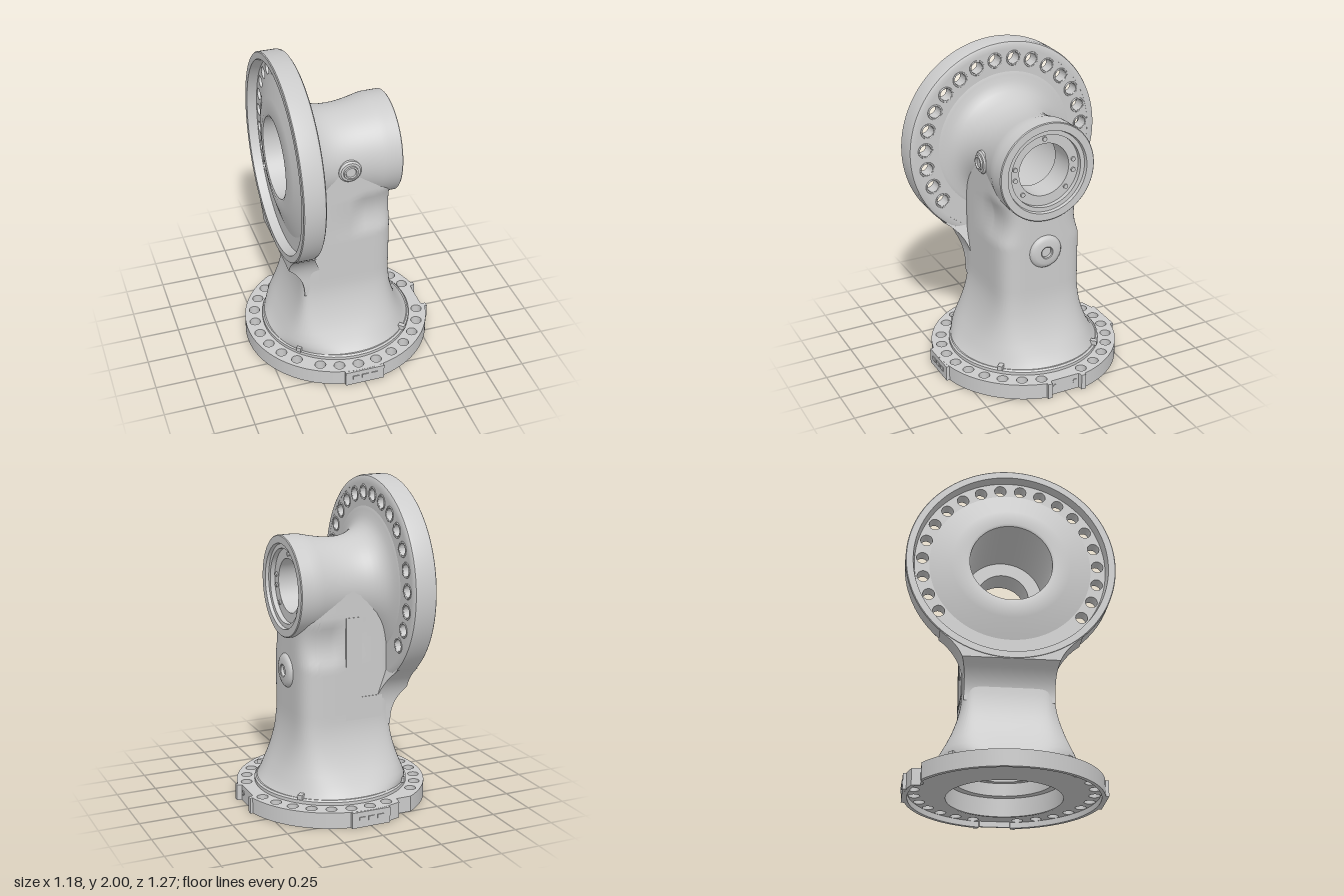
import * as THREE from 'three';
import { toCreasedNormals } from 'three/addons/utils/BufferGeometryUtils.js';

const AXIS_Y = 1.365;               // height of the horizontal barrel axis
const rad = THREE.MathUtils.degToRad;
const clamp01 = (v) => THREE.MathUtils.clamp(v, 0, 1);

const mat = new THREE.MeshStandardMaterial({ color: 0xcccccc, side: THREE.DoubleSide });

function add(parent, name, geo, crease = 0.6) {
  const mesh = new THREE.Mesh(toCreasedNormals(geo, crease), mat);
  mesh.name = name;
  parent.add(mesh);
  return mesh;
}

// Profile of [radius, height] pairs turned about y
const lathe = (pts, seg = 72) =>
  new THREE.LatheGeometry(pts.map(([r, h]) => new THREE.Vector2(r, h)), seg);
// The same turned about x, on the barrel axis
const latheX = (pts, seg = 72) => lathe(pts, seg).rotateZ(-Math.PI / 2).translate(0, AXIS_Y, 0);

function circleHole(shape, x, y, r) {
  const hole = new THREE.Path();
  hole.absarc(x, y, r, 0, Math.PI * 2, true);
  shape.holes.push(hole);
}

const extrude = (shape, depth, curveSegments = 14) =>
  new THREE.ExtrudeGeometry(shape, { depth, curveSegments, bevelEnabled: false });

// Skin over rows of closed cross-sections; point(row, i) gives [x, y, z]
function loft(rows, seg, point) {
  const pos = [], index = [];
  for (let r = 0; r < rows; r++)
    for (let i = 0; i <= seg; i++) {
      pos.push(...point(r, i % seg));
      if (r && i) {
        const b = r * (seg + 1) + i, d = b - seg - 1;
        index.push(d - 1, b - 1, d, b - 1, b, d);
      }
    }
  const geo = new THREE.BufferGeometry();
  geo.setAttribute('position', new THREE.Float32BufferAttribute(pos, 3));
  geo.setIndex(index);
  return geo;
}

// Column: flared round foot becoming a rounded square, cut to saddle under the barrel
function columnGeometry() {
  const foot = [[0.12, 0.468], [0.14, 0.448], [0.17, 0.423], [0.2, 0.403], [0.25, 0.373], [0.3, 0.349],
    [0.35, 0.33], [0.4, 0.315], [0.45, 0.304], [0.5, 0.297], [0.55, 0.293]];
  const SEG = 160, UPPER = 24;
  const pow = (v, n) => Math.sign(v) * Math.pow(Math.abs(v), 2 / n);
  return loft(foot.length + UPPER + 1, SEG, (r, i) => {
    const t = Math.max(0, (r - foot.length) / UPPER);
    const [y0, half] = foot[r] || [0.6, 0.293];
    const k = Math.min(1, (y0 - 0.12) / 0.38);
    const a = (i / SEG) * Math.PI * 2;
    const n = 2 + (Math.cos(a) < 0 ? 8 : 3) * k;   // squarer towards the flange
    const x = pow(Math.cos(a), n) * half;
    const z = pow(Math.sin(a), n) * (half - 0.018 * k);
    const y = y0 + (AXIS_Y - Math.sqrt(Math.max(0, 0.27 ** 2 - z * z)) - 0.6) * t;
    // shallow scoop in each flank
    const scoop = x > 0.02 ? 0.12 * Math.sin(Math.PI * clamp01((y - 0.9) / 0.28)) : 0;
    return [x, y, z * (1 - scoop)];
  });
}

// Neck: fillet joining the column to the underside of the big flange
function neckGeometry() {
  const ROWS = 36, N = 60;
  return loft(ROWS, 2 * N + 2, (r, i) => {
    const y = 0.5 + 0.385 * r / (ROWS - 1);
    const onBack = i <= N;
    const z = (onBack ? 2 * i / N - 1 : 1 - 2 * (i - N - 1) / N) * (0.268 + 0.175 * clamp01((y - 0.6) / 0.3) ** 2.6);
    if (!onBack) return [-0.12 - 0.135 * clamp01((y - 0.5) / 0.36), y, z];
    // stay behind the drilled plate inside the rim
    if (Math.hypot(z, y - AXIS_Y) < 0.605) return [-0.3, y, z];
    return [-0.285 - 0.103 * clamp01((y - 0.52) / 0.21) ** 2.2, y, z];
  });
}

// Base outline: keyed flat on +x and a small notch at the back
function baseOutline() {
  const pts = [];
  for (let i = 0; i < 540; i++) {
    const a = (i / 540) * Math.PI * 2;
    let x = 0.59 * Math.cos(a), y = 0.59 * Math.sin(a);
    if (x > 0 && Math.abs(y) < 0.1) x = 0.56;
    if (x > -0.31 && x < -0.212) y = Math.min(y, 0.5);
    pts.push(new THREE.Vector2(x, y));
  }
  return pts;
}

function buildBase(root) {
  const base = new THREE.Group();
  base.name = 'base';
  root.add(base);

  // Drilled ring; one hole gives way to the notch
  const outline = baseOutline();
  const ring = new THREE.Shape(outline);
  circleHole(ring, 0, 0, 0.465);
  const angles = [];
  for (let k = 0; k < 9; k++) angles.push(15 + 12.9 * k);
  for (let k = 0; k < 4; k++) angles.push(173.5 - 12.86 * k);
  for (const deg of angles)
    for (const s of [-1, 1])
      if (s < 0 || Math.abs(deg - 118) > 2)
        circleHole(ring, 0.531 * Math.cos(rad(deg)), s * 0.531 * Math.sin(rad(deg)), 0.034);
  add(base, 'baseFlange', extrude(ring, 0.065, 20).rotateX(-Math.PI / 2).translate(0, 0.035, 0));

  // Thin rim closing the groove underneath
  const rim = new THREE.Shape(outline);
  rim.holes.push(new THREE.Path(outline.map((p) => p.clone().setLength(Math.min(0.567, p.length() - 0.012)))));
  add(base, 'baseRim', extrude(rim, 0.035).rotateX(-Math.PI / 2));

  // Plinth on top, sloped underside and stepped bore
  add(base, 'plinthAndBore', lathe([[0.44, 0.13], [0.468, 0.13], [0.478, 0.12], [0.478, 0.098], [0.49, 0.09],
    [0.49, 0.035], [0.36, 0.004], [0.345, 0.004], [0.345, 0.12], [0.3, 0.12], [0.3, 0.2],
    [0.27, 0.2], [0.27, 0.26], [0.25, 0.28], [0.25, 0.9], [0, 0.9]]));

  for (const s of [-1, 1]) {
    // Flat pads on the rim with plain raised tiles
    add(base, 'rimPad', new THREE.BoxGeometry(0.25, 0.098, 0.025).translate(0, 0.05, s * 0.585));
    for (const x of [-0.06, 0, 0.06])
      add(base, 'padTile', new THREE.BoxGeometry(0.04, 0.025, 0.008).translate(x, 0.055, s * 0.599));
    // Key stops and pins beside the flat
    add(base, 'keyStop', new THREE.BoxGeometry(0.026, 0.1, 0.03).translate(0.578, 0.05, s * 0.116));
    const pin = new THREE.CylinderGeometry(0.015, 0.015, 0.02, 16).rotateZ(Math.PI / 2);
    add(base, 'keyPin', pin.translate(0.555, 0.055, s * 0.07));
    // Locating blocks on the plinth corners
    for (const t of [-1, 1]) {
      const block = new THREE.BoxGeometry(0.03, 0.03, 0.07).rotateY(s * t * Math.PI / 4);
      add(base, 'locatingBlock', block.translate(s * 0.33, 0.143, t * 0.318));
    }
  }
}

function buildFlange(root) {
  const flange = new THREE.Group();
  flange.name = 'largeFlange';
  root.add(flange);

  add(flange, 'rim', latheX([[0.59, -0.39], [0.63, -0.39], [0.635, -0.385], [0.635, -0.275], [0.629, -0.258],
    [0.615, -0.25], [0.585, -0.25], [0.58, -0.33], [0.59, -0.39]], 108));

  // Drilled plate; the lower arc over the neck has no holes
  const plate = new THREE.Shape();
  plate.absarc(0, 0, 0.6, 0, Math.PI * 2, false);
  circleHole(plate, 0, 0, 0.445);
  for (let k = 0; k < 20; k++) {
    const a = Math.PI / 2 + (k - 9.5) * Math.PI * 2 / 27;
    const u = 0.533 * Math.cos(a), v = 0.533 * Math.sin(a) - 0.004;
    circleHole(plate, u, v, 0.036);
    const lip = new THREE.TorusGeometry(0.043, 0.006, 6, 24).rotateY(Math.PI / 2);
    add(flange, 'holeLip', lip.translate(-0.252, AXIS_Y + v, -u), 1.2);
  }
  add(flange, 'drilledPlate', extrude(plate, 0.08, 36).rotateY(Math.PI / 2).translate(-0.331, AXIS_Y, 0));
}

function buildBarrel(root) {
  const barrel = new THREE.Group();
  barrel.name = 'barrel';
  root.add(barrel);

  // Waisted outside, stepped mouth, through bore and raised cone at the back
  add(barrel, 'barrelShell', latheX([[0.47, -0.262], [0.45, -0.252], [0.425, -0.247], [0.39, -0.238],
    [0.36, -0.226], [0.336, -0.208], [0.314, -0.183], [0.297, -0.15], [0.285, -0.115], [0.277, -0.075],
    [0.275, -0.03], [0.276, 0.02], [0.282, 0.07], [0.291, 0.12], [0.301, 0.165], [0.309, 0.2], [0.31, 0.24],
    [0.31, 0.315], [0.305, 0.32], [0.26, 0.32], [0.255, 0.3], [0.228, 0.3], [0.228, 0.27], [0.165, 0.27],
    [0.165, 0.1], [0.25, 0.1], [0.25, -0.38], [0.265, -0.386], [0.36, -0.368], [0.49, -0.331]], 96));

  // Screws around the mouth
  for (const deg of [90, 10, -10, -43, 170, 190, 223]) {
    const a = rad(deg);
    const screw = new THREE.CylinderGeometry(0.014, 0.014, 0.012, 14).rotateZ(Math.PI / 2);
    add(barrel, 'mouthScrew', screw.translate(0.274, AXIS_Y + 0.195 * Math.sin(a), 0.195 * Math.cos(a)));
  }

  // Plug on the front side
  const plug = lathe([[0.072, -0.02], [0.07, 0.008], [0.06, 0.018], [0.046, 0.02], [0.044, 0.03], [0.034, 0.032],
    [0.03, 0.022], [0, 0.022]], 32).rotateX(Math.PI / 2);
  add(barrel, 'sidePlug', plug.translate(0, AXIS_Y, 0.273));
}

export function createModel() {
  const root = new THREE.Group();
  root.name = 'flangedElbowHousing';
  buildBase(root);
  add(root, 'column', columnGeometry(), 0.5);
  add(root, 'neck', neckGeometry(), 0.7);
  buildFlange(root);
  buildBarrel(root);

  // Round boss on the column face
  const boss = lathe([[0.108, -0.02], [0.106, 0.002], [0.095, 0.016], [0.075, 0.024], [0.04, 0.026], [0.035, 0.022],
    [0.035, 0.004], [0, 0.004]], 40).rotateZ(-Math.PI / 2);
  add(root, 'faceBoss', boss.translate(0.292, 0.84, 0));

  // Stepped access cover on the back side
  const cover = new THREE.Shape([[-0.22, 0.56], [0.02, 0.56], [0.02, 1.2], [-0.085, 1.2], [-0.085, 0.7],
    [-0.22, 0.7]].map(([x, y]) => new THREE.Vector2(x, y)));
  add(root, 'accessCover', extrude(cover, 0.03).translate(0, 0, -0.279));
  return root;
}
